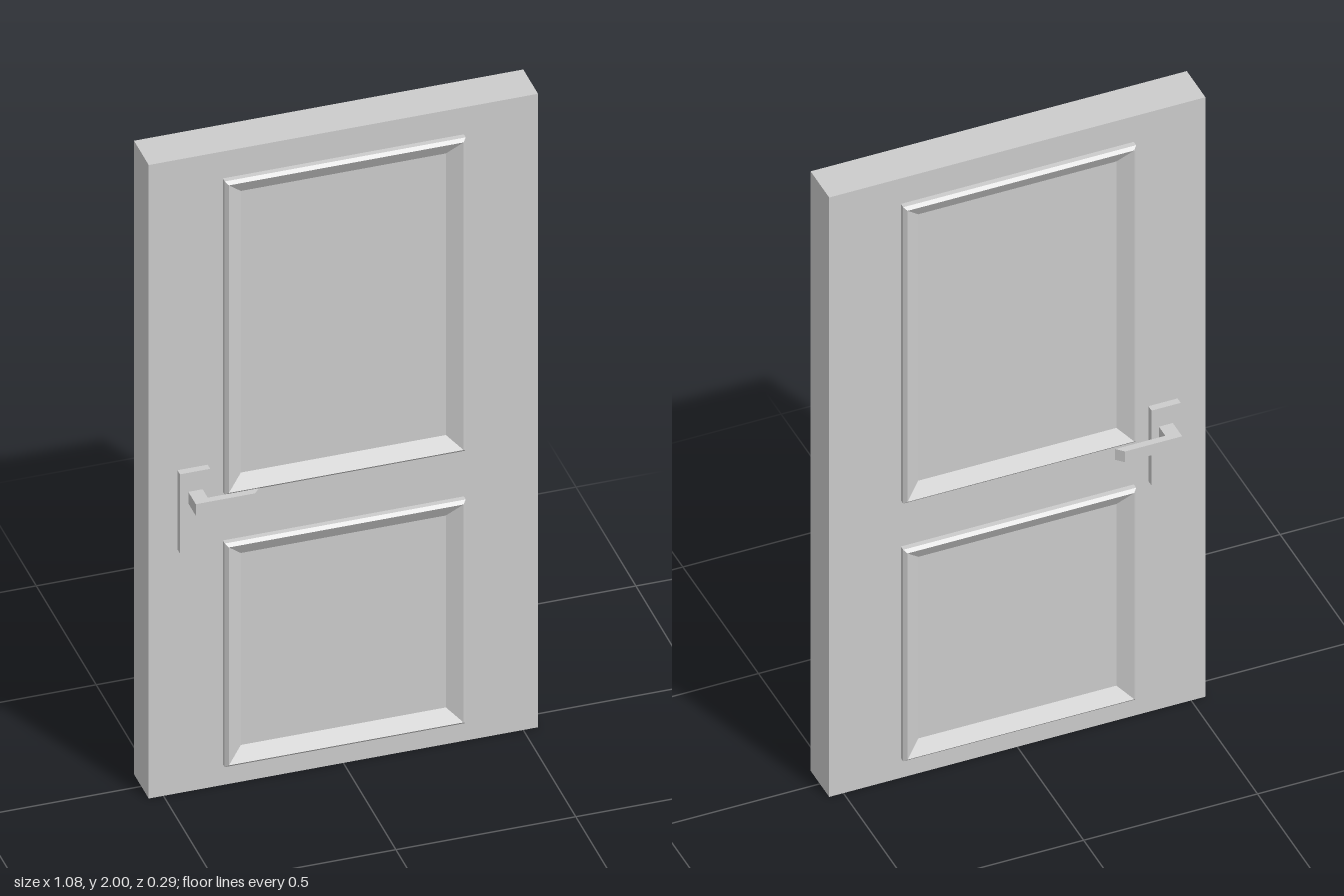
import * as THREE from 'three';

const material = new THREE.MeshStandardMaterial({ color: 0xcccccc, flatShading: true });
const FACE = 0.0615; // half thickness of the slab

function mesh(name, geometry) {
  const m = new THREE.Mesh(geometry, material);
  m.name = name;
  return m;
}

// Rectangular frame swept from a profile of [inset, z] points, outside to inside
function mouldingGeometry(width, height, profile) {
  const corner = ([inset, z], k) => [
    (k % 4 === 0 || k % 4 === 3 ? -1 : 1) * (width / 2 - inset),
    (k % 4 < 2 ? -1 : 1) * (height / 2 - inset),
    z,
  ];
  const positions = [];
  for (let i = 0; i < profile.length - 1; i++) {
    for (let k = 0; k < 4; k++) {
      const a = corner(profile[i], k), b = corner(profile[i], k + 1);
      const c = corner(profile[i + 1], k + 1), d = corner(profile[i + 1], k);
      positions.push(...a, ...b, ...c, ...a, ...c, ...d);
    }
  }
  const geometry = new THREE.BufferGeometry();
  geometry.setAttribute('position', new THREE.Float32BufferAttribute(positions, 3));
  geometry.computeVertexNormals();
  return geometry;
}

// Raised moulding around one door panel, bevelled down to the panel field
function createMoulding(y0, y1) {
  const profile = [[0, FACE], [0, 0.077], [0.009, 0.0855], [0.05, FACE]];
  const group = new THREE.Group();
  group.add(mesh('mouldingFrame', mouldingGeometry(0.67, y1 - y0, profile)));
  group.position.y = (y0 + y1) / 2;
  return group;
}

// Backplate with an L-shaped lever, its tip cut at an angle
function createHandle() {
  const group = new THREE.Group();
  const plate = mesh('backplate', new THREE.BoxGeometry(0.084, 0.25, 0.021));
  plate.position.set(-0.419, -0.047, FACE + 0.0105);

  const outline = new THREE.Shape([
    [-0.438, 0.0825], [-0.398, 0.0825], [-0.398, 0.125],
    [-0.254, 0.125], [-0.274, 0.145], [-0.438, 0.145],
  ].map(([x, z]) => new THREE.Vector2(x, z)));
  const height = 0.036;
  const leverGeometry = new THREE.ExtrudeGeometry(outline, { depth: height, bevelEnabled: false });
  leverGeometry.rotateX(Math.PI / 2).translate(0, height / 2, 0);

  group.add(plate, mesh('lever', leverGeometry));
  group.position.y = 0.942;
  return group;
}

export function createModel() {
  const door = new THREE.Group();
  door.name = 'door';

  const slab = mesh('doorSlab', new THREE.BoxGeometry(1.082, 2, FACE * 2));
  slab.position.y = 1;
  door.add(slab);

  // Both faces carry the same fittings; the back plate offset is mirrored in y
  for (const side of ['front', 'back']) {
    const fittings = {
      UpperMoulding: createMoulding(0.926, 1.915),
      LowerMoulding: createMoulding(0.066, 0.772),
      Handle: createHandle(),
    };
    for (const [name, part] of Object.entries(fittings)) {
      part.name = side + name;
      if (side === 'back') {
        part.rotation.x = Math.PI;
        part.traverse((o) => { if (o.name === 'backplate') o.position.y *= -1; });
      }
      door.add(part);
    }
  }
  return door;
}
